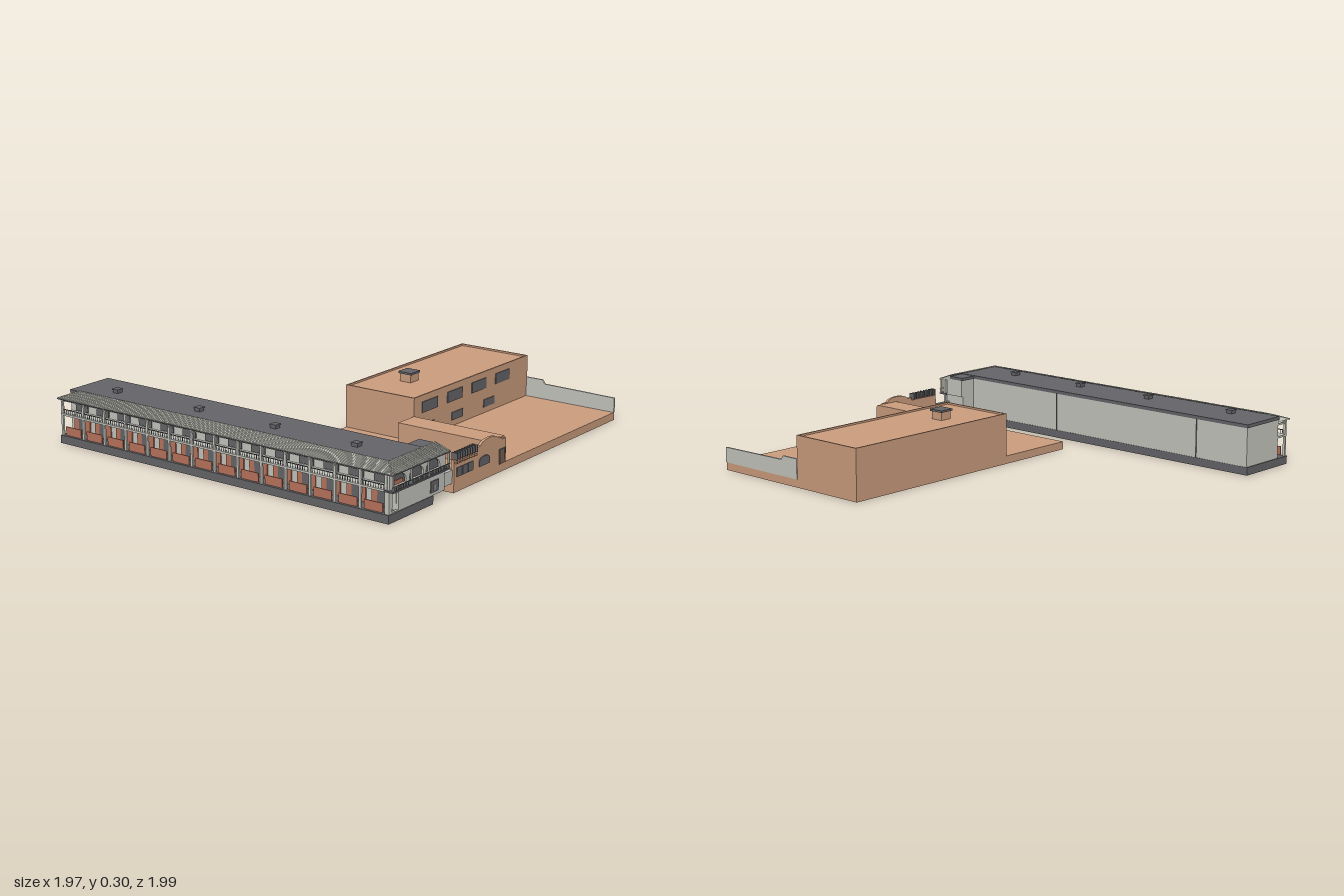
import * as THREE from 'three';
import { mergeGeometries } from 'three/addons/utils/BufferGeometryUtils.js';

const mat = (name, color, side = THREE.FrontSide) => {
  const m = new THREE.MeshStandardMaterial({ color, side });
  m.name = name;
  return m;
};

// box geometry from its min and max corners
function boxG(x0, x1, y0, y1, z0, z1) {
  return new THREE.BoxGeometry(x1 - x0, y1 - y0, z1 - z0)
    .translate((x0 + x1) / 2, (y0 + y1) / 2, (z0 + z1) / 2);
}

// flat outline extruded towards +z
function plateG(points, z, depth, holes = []) {
  const s = new THREE.Shape(points.map(p => new THREE.Vector2(...p)));
  for (const h of holes) s.holes.push(new THREE.Path(h.map(p => new THREE.Vector2(...p))));
  return new THREE.ExtrudeGeometry(s, { depth, bevelEnabled: false }).translate(0, 0, z);
}

// round-headed opening outline
function arch(cx, w, y0, y1, rise = w / 2) {
  const pts = [[cx - w / 2, y0], [cx + w / 2, y0]];
  for (let i = 0; i <= 8; i++) {
    const a = Math.PI * i / 8;
    pts.push([cx + Math.cos(a) * w / 2, y1 - rise + Math.sin(a) * rise]);
  }
  return pts;
}

// flat polygon fan
function faceG(...pts) {
  const v = [];
  for (let i = 1; i < pts.length - 1; i++) v.push(...pts[0], ...pts[i], ...pts[i + 1]);
  const g = new THREE.BufferGeometry();
  g.setAttribute('position', new THREE.Float32BufferAttribute(v, 3));
  g.computeVertexNormals();
  return g;
}

// tile rib lying between two points
function ribG(a, b) {
  const p = new THREE.Vector3(...a), q = new THREE.Vector3(...b);
  const d = q.clone().sub(p);
  const g = new THREE.CylinderGeometry(0.0035, 0.0035, d.length(), 5, 1);
  g.applyQuaternion(new THREE.Quaternion().setFromUnitVectors(new THREE.Vector3(0, 1, 0), d.normalize()));
  return g.translate(...p.add(q).multiplyScalar(0.5).toArray());
}

export function createModel() {
  const root = new THREE.Group();
  const tan = mat('tan stucco', 0xcd9e7f);
  const pale = mat('pale grey wall', 0xc6c6c0);
  const dark = mat('dark grey', 0x66666a);
  const brick = mat('terracotta', 0xb9735c);
  const brown = mat('brown door', 0x80604e);
  const tile = mat('pale roof tile', 0xbcbcb4, THREE.DoubleSide);
  // one named mesh from one or more geometries, un-indexed so that kinds can mix
  const add = (parent, name, material, ...geos) => {
    const m = new THREE.Mesh(mergeGeometries(geos.map(g => (g.index ? g.toNonIndexed() : g))), material);
    m.name = name;
    parent.add(m);
  };
  const group = name => {
    const g = new THREE.Group();
    g.name = name;
    root.add(g);
    return g;
  };

  // ---- long gallery building ----
  const hall = group('galleryBuilding');
  add(hall, 'plinth', dark, boxG(-0.975, -0.64, 0, 0.04, -0.99, 0.965));
  add(hall, 'hallWalls', pale, boxG(-0.9, -0.642, 0.04, 0.235, -0.985, 0.9));
  add(hall, 'frontWing', pale, boxG(-0.9, -0.55, 0.145, 0.235, 0.83, 0.94),
    boxG(-0.9, -0.56, 0.04, 0.145, 0.83, 0.95));
  add(hall, 'flatRoof', dark, boxG(-0.9, -0.637, 0.235, 0.252, -0.99, 0.912),
    boxG(-0.64, -0.545, 0.235, 0.25, 0.82, 0.912));

  // front face of the ground floor with an arched way into the veranda
  add(hall, 'groundFront', pale, plateG([[-0.97, 0.04], [-0.55, 0.04], [-0.55, 0.145], [-0.97, 0.145]],
    0.95, 0.012, [arch(-0.922, 0.046, 0.045, 0.138)]));
  add(hall, 'groundWindows', dark, boxG(-0.66, -0.6, 0.055, 0.108, 0.96, 0.966));
  add(hall, 'windowSlits', pale, boxG(-0.637, -0.63, 0.06, 0.09, 0.964, 0.968));

  // upper front arcade and balcony
  const arches = [-0.9, -0.77, -0.645];
  add(hall, 'upperArcade', pale, plateG([[-0.97, 0.15], [-0.55, 0.15], [-0.55, 0.235], [-0.97, 0.235]],
    0.955, 0.01, arches.map(x => arch(x, 0.105, 0.16, 0.21, 0.035))));
  add(hall, 'archShade', dark, boxG(-0.955, -0.56, 0.155, 0.215, 0.945, 0.95));
  add(hall, 'archPanel', brick, boxG(-0.945, -0.855, 0.155, 0.178, 0.948, 0.954));
  add(hall, 'balconyFloor', dark, boxG(-0.978, -0.545, 0.143, 0.15, 0.94, 0.99));
  const rail = [boxG(-0.978, -0.545, 0.168, 0.172, 0.986, 0.99)];
  for (let i = 0; i <= 34; i++) {
    const x = -0.976 + i * 0.0126;
    rail.push(boxG(x - 0.001, x + 0.001, 0.15, 0.168, 0.987, 0.989));
  }
  add(hall, 'balconyRail', dark, ...rail);
  const posts = [];
  for (const x of [-0.97, -0.835, -0.707, -0.552]) posts.push(boxG(x - 0.004, x + 0.004, 0.15, 0.232, 0.98, 0.988));
  add(hall, 'balconyPosts', pale, ...posts);

  // side veranda: columns, beams, brick panels, doors and rails
  const cols = [], panels = [], openings = [], rails = [];
  const bays = 14, z0 = -0.98, step = 1.925 / bays;
  for (let i = 0; i <= bays; i++) {
    const z = z0 + i * step;
    cols.push(boxG(-0.97, -0.96, 0.04, 0.23, z - 0.006, z + 0.006));
    cols.push(boxG(-0.972, -0.9, 0.205, 0.214, z - 0.004, z + 0.004));
    if (i === bays) break;
    const c = z + step / 2;
    panels.push(boxG(-0.906, -0.899, 0.045, 0.135, c - 0.052, c + 0.052));
    panels.push(boxG(-0.966, -0.961, 0.042, 0.085, c - 0.05, c + 0.05));
    openings.push(boxG(-0.909, -0.905, 0.05, 0.12, c - 0.02, c + 0.02));
    openings.push(boxG(-0.905, -0.899, 0.155, 0.205, c - 0.04, c + 0.04));
    for (let k = -4; k <= 4; k++) rails.push(boxG(-0.967, -0.965, 0.15, 0.168, c + k * 0.0137 - 0.001, c + k * 0.0137 + 0.001));
  }
  rails.push(boxG(-0.968, -0.964, 0.168, 0.172, -0.985, 0.96));
  add(hall, 'verandaColumns', pale, ...cols);
  add(hall, 'verandaBeams', pale, boxG(-0.972, -0.958, 0.214, 0.23, -0.986, 0.96),
    boxG(-0.972, -0.9, 0.14, 0.15, -0.986, 0.95));
  add(hall, 'verandaPanels', brick, ...panels);
  add(hall, 'verandaOpenings', dark, ...openings);
  add(hall, 'verandaRails', dark, ...rails);

  // sloping tiled roof, hipped at both ends
  const lo = 0.226, hi = 0.256, L = -0.985, R = -0.9, F = 0.99, N = 0.91, B = -0.995, E = -0.545;
  const bk = B + 0.075;
  add(hall, 'tileSlopes', tile,
    faceG([L, lo, B], [L, lo, F], [R, hi, N], [R, hi, bk]),
    faceG([L, lo, F], [E, lo, F], [E, hi, N], [R, hi, N]),
    faceG([R, lo, B], [L, lo, B], [R, hi, bk]));
  add(hall, 'roofGable', tile, faceG([E, lo, F], [E, lo, N], [E, hi, N]), faceG([R, lo, B], [R, hi, bk], [R, lo, bk]));
  const ribs = [];
  const rise = t => lo + (hi - lo) * t;
  for (let z = B + 0.008; z < F - 0.005; z += 0.0135) {
    const t = Math.min(1, (F - z) / (F - N), (z - B) / 0.075);
    ribs.push(ribG([L, lo, z], [L + (R - L) * t, rise(t), z]));
  }
  for (let x = L + 0.01; x < E; x += 0.0135) {
    const t = Math.min(1, (x - L) / (R - L));
    ribs.push(ribG([x, lo, F], [x, rise(t), F + (N - F) * t]));
  }
  ribs.push(ribG([L, lo, F], [R, hi, N]), ribG([L, lo, B], [R, hi, bk]));
  add(hall, 'tileRibs', tile, ...ribs);
  add(hall, 'eaves', dark, boxG(L, L + 0.004, 0.222, 0.227, B, F), boxG(L, E, 0.222, 0.227, F - 0.004, F));

  // roof vents and downpipes
  const vents = [];
  for (const z of [-0.77, -0.25, 0.205, 0.665])
    vents.push(boxG(-0.817, -0.785, 0.25, 0.265, z - 0.016, z + 0.016), boxG(-0.82, -0.782, 0.265, 0.271, z - 0.019, z + 0.019));
  add(hall, 'roofVents', dark, ...vents);
  const pipes = [-0.68, 0.23].map(z => boxG(-0.643, -0.638, 0.04, 0.235, z - 0.002, z + 0.002));
  add(hall, 'downpipes', dark, ...pipes);
  add(hall, 'linkWall', pale, boxG(-0.6, -0.46, 0.045, 0.108, 0.93, 0.945));

  // ---- courtyard building ----
  const court = group('courtyardBuilding');
  add(court, 'groundSlab', tan, boxG(-0.463, 0.98, 0, 0.04, 0.03, 0.952));
  add(court, 'mainBlock', tan, boxG(-0.035, 0.98, 0.04, 0.246, 0.03, 0.435));
  add(court, 'parapet', tan, boxG(-0.035, 0.98, 0.246, 0.255, 0.03, 0.038), boxG(-0.035, 0.98, 0.246, 0.255, 0.427, 0.435),
    boxG(-0.035, -0.027, 0.246, 0.255, 0.038, 0.427), boxG(0.972, 0.98, 0.246, 0.255, 0.038, 0.427));
  add(court, 'chimney', tan, boxG(0.205, 0.27, 0.246, 0.286, 0.18, 0.245));
  add(court, 'chimneyCap', dark, boxG(0.199, 0.276, 0.286, 0.296, 0.174, 0.251));
  const win = [];
  for (const x of [0.095, 0.31, 0.525, 0.74]) win.push(boxG(x - 0.065, x + 0.065, 0.168, 0.222, 0.432, 0.439));
  for (const x of [0.333, 0.617]) win.push(boxG(x - 0.048, x + 0.048, 0.07, 0.11, 0.432, 0.439));
  add(court, 'blockWindows', dark, ...win);
  add(court, 'blockDoor', brown, boxG(0.06, 0.133, 0.042, 0.11, 0.432, 0.439));

  // low wing beside the courtyard
  add(court, 'wing', tan, boxG(-0.165, -0.035, 0.04, 0.165, 0.435, 0.945));
  const wingZ = [0.54, 0.67, 0.8];
  add(court, 'wingWindows', dark, ...wingZ.map(z => boxG(-0.04, -0.031, 0.075, 0.118, z - 0.034, z + 0.034)));
  add(court, 'wingAwnings', pale, ...wingZ.map(z => boxG(-0.035, -0.016, 0.12, 0.126, z - 0.034, z + 0.034)));

  // curved parapet front wall
  const front = [[-0.463, 0.04], [-0.035, 0.04], [-0.035, 0.157], [-0.07, 0.157], [-0.073, 0.168], [-0.1, 0.17],
    [-0.112, 0.181], [-0.14, 0.189], [-0.175, 0.192], [-0.21, 0.189], [-0.238, 0.181], [-0.25, 0.17],
    [-0.277, 0.168], [-0.28, 0.155], [-0.463, 0.155]];
  add(court, 'frontWall', tan, plateG(front, 0.94, 0.014));
  add(court, 'frontWindows', dark, plateG(arch(-0.218, 0.085, 0.072, 0.117, 0.018), 0.952, 0.006),
    ...[-0.423, -0.378, -0.333].map(x => boxG(x - 0.02, x + 0.02, 0.072, 0.115, 0.952, 0.958)));
  add(court, 'frontDoor', brown, boxG(-0.088, -0.052, 0.042, 0.108, 0.952, 0.958));
  add(court, 'doorFrame', dark, boxG(-0.093, -0.088, 0.042, 0.112, 0.952, 0.96),
    boxG(-0.052, -0.047, 0.042, 0.112, 0.952, 0.96), boxG(-0.093, -0.047, 0.108, 0.113, 0.952, 0.96));

  // pergola and projecting beam ends
  const slats = [boxG(-0.455, -0.295, 0.16, 0.19, 0.944, 0.95)], ends = [];
  for (let i = 0; i < 9; i++) {
    const x = -0.455 + i * 0.02;
    slats.push(boxG(x - 0.002, x + 0.002, 0.155, 0.188, 0.936, 0.968));
    ends.push(boxG(x - 0.003, x + 0.003, 0.138, 0.145, 0.95, 0.966));
  }
  add(court, 'pergola', dark, ...slats);
  add(court, 'beamEnds', tan, ...ends);

  // stepped side fence
  const fence = [[-0.952, 0.04], [-0.435, 0.04], [-0.435, 0.14], [-0.53, 0.14], [-0.545, 0.12], [-0.952, 0.115]];
  add(court, 'sideFence', pale, plateG(fence, 0.974, 0.01).rotateY(Math.PI / 2));
  return root;
}
